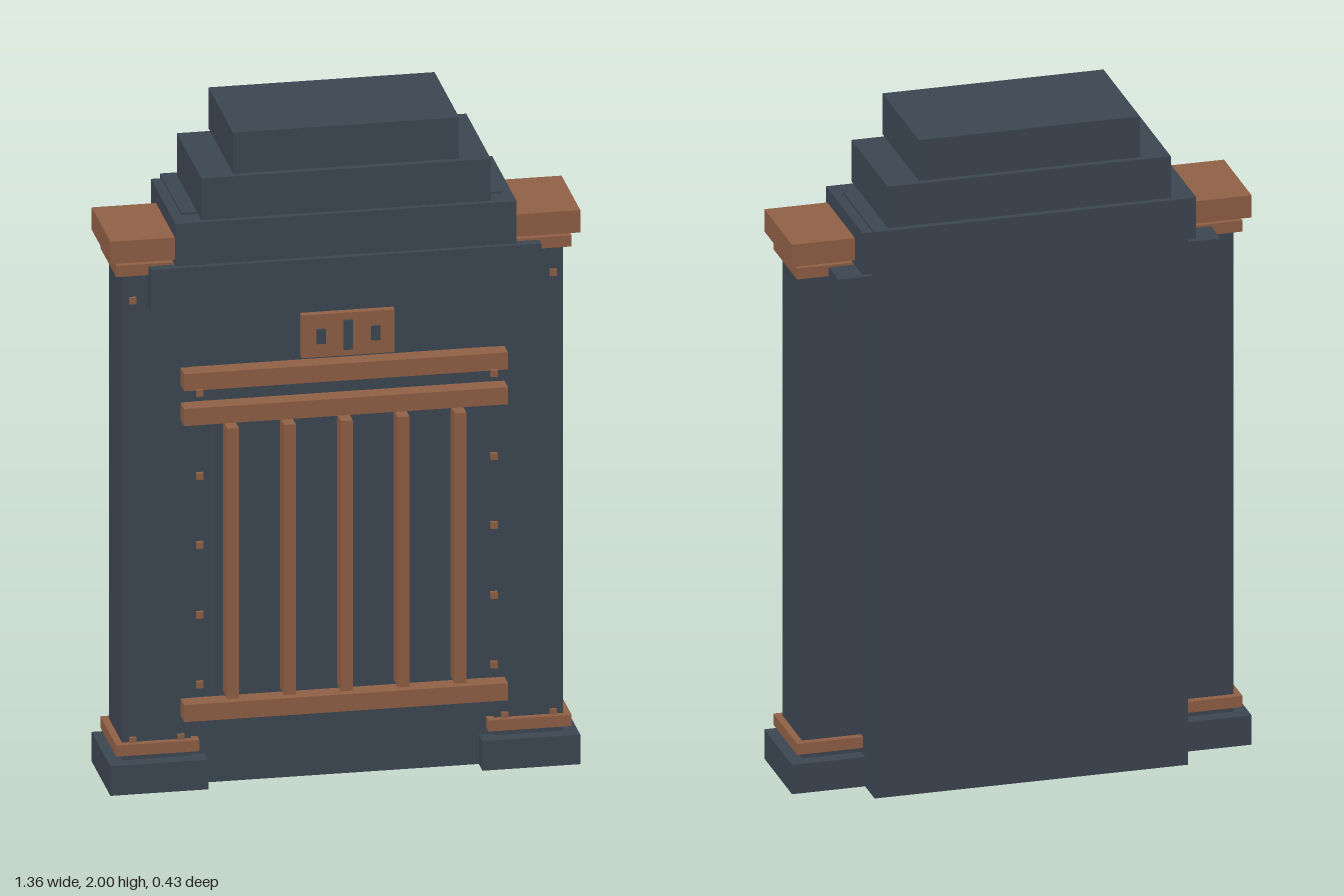
import * as THREE from 'three';

const slate = new THREE.MeshStandardMaterial({ color: 0x3d4753 });
slate.name = 'slate';
const copper = new THREE.MeshStandardMaterial({ color: 0x926147 });
copper.name = 'copper';

export function createModel() {
  const model = new THREE.Group();
  model.name = 'gate';

  // Box given by its extents along each axis
  function block(name, mat, [x0, x1], [y0, y1], [z0, z1], parent = model) {
    const mesh = new THREE.Mesh(new THREE.BoxGeometry(x1 - x0, y1 - y0, z1 - z0), mat);
    mesh.position.set((x0 + x1) / 2, (y0 + y1) / 2, (z0 + z1) / 2);
    mesh.name = name;
    parent.add(mesh);
    return mesh;
  }
  const rivet = (name, x, y, z, parent) =>
    block(name, copper, [x - 0.01, x + 0.01], [y - 0.01, y + 0.01], [z - 0.006, z + 0.006], parent);

  // Slab body and the door panel set on its front
  block('body', slate, [-0.465, 0.465], [0, 1.74], [-0.215, 0.11]);
  block('doorPanel', slate, [-0.388, 0.388], [0.287, 1.097], [0.105, 0.12]);

  // Stepped crown: half width, bottom, top
  [[0.567, 1.47, 1.598], [0.495, 1.605, 1.733], [0.42, 1.74, 1.867], [0.328, 1.875, 2]].forEach(([w, y0, y1], i) =>
    block(`crownTier${i + 1}`, slate, [-w, w], [y0, y1], [-0.195, 0.178]));

  // Corner pillars with plinth, trims, cap and rivets
  for (const side of [-1, 1]) {
    const pillar = new THREE.Group();
    pillar.name = side > 0 ? 'leftPillar' : 'rightPillar';
    model.add(pillar);
    const layer = (name, mat, half, y) => {
      const cx = side * 0.54;
      block(name, mat, [cx - half, cx + half], y, [0.024 - half, 0.024 + half], pillar);
    };
    layer('plinth', slate, 0.142, [0, 0.09]);
    layer('shaft', slate, 0.1, [0.08, 1.63]);
    layer('lowerTrim', copper, 0.121, [0.11, 0.144]);
    layer('upperTrim', copper, 0.121, [1.571, 1.605]);
    layer('cap', copper, 0.142, [1.62, 1.688]);
    for (const x of [0.47, 0.61]) {
      for (const y of [0.15, 1.49]) rivet('pillarRivet', side * x, y, 0.127, pillar);
    }
    // Rivets beside the grille
    for (const y of [0.33, 0.542, 0.755, 0.965, 1.218]) rivet('grilleRivet', side * 0.427, y, 0.188);
  }

  // Grille: cross rails and upright bars
  for (const y of [0.24, 1.142, 1.248]) {
    block('rail', copper, [-0.47, 0.47], [y - 0.026, y + 0.026], [0.122, 0.178]);
  }
  for (let i = -2; i <= 2; i++) {
    const x = i * 0.165;
    block('bar', copper, [x - 0.017, x + 0.017], [0.28, 1.103], [0.125, 0.189]);
  }

  // Plaque with three raised marks
  block('plaque', copper, [-0.135, 0.135], [1.31, 1.44], [0.185, 0.208]);
  for (const [x, h] of [[-0.079, 0.022], [0, 0.045], [0.079, 0.022]]) {
    block('plaqueMark', slate, [x - 0.013, x + 0.013], [1.374 - h, 1.374 + h], [0.207, 0.215]);
  }

  return model;
}
